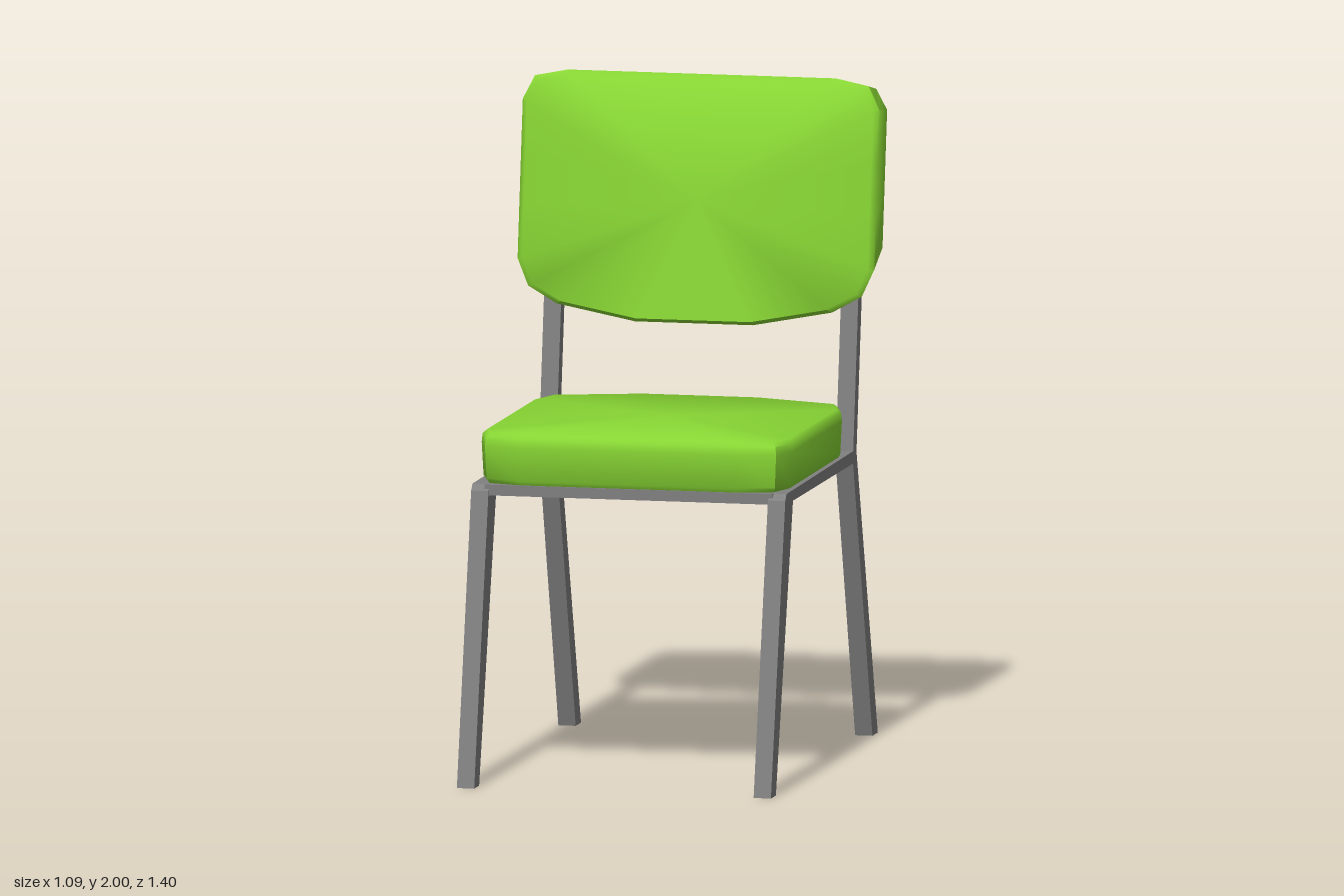
import * as THREE from 'three';
import { toCreasedNormals } from 'three/addons/utils/BufferGeometryUtils.js';

// Mirrors half an outline (+x side, listed bottom to top) into a closed counter-clockwise loop
const mirrorLoop = (half) => [...half, ...half.map(([x, v]) => [-x, v]).reverse()];

// Skins a list of equal-length rings; the first and last rings are collapsed to a point
function loft(rings) {
  const n = rings[0].length, last = rings.length - 2, index = [];
  for (let i = 0; i <= last; i++) {
    for (let j = 0; j < n; j++) {
      const k = (j + 1) % n, a = i * n, b = a + n;
      if (i < last) index.push(a + j, b + j, b + k);
      if (i > 0) index.push(a + j, b + k, a + k);
      else index.push();
    }
  }
  const geo = new THREE.BufferGeometry();
  geo.setAttribute('position', new THREE.Float32BufferAttribute(rings.flat(2), 3));
  geo.setIndex(index);
  return toCreasedNormals(geo, 0.9);
}

function extrude(points, depth) {
  const shape = new THREE.Shape(points.map(([x, y]) => new THREE.Vector2(x, y)));
  return new THREE.ExtrudeGeometry(shape, { depth, bevelEnabled: false });
}

export function createModel() {
  const chair = new THREE.Group();
  chair.name = 'chair';
  const green = new THREE.MeshStandardMaterial({ color: 0x88d634 });
  green.name = 'green upholstery';
  const grey = new THREE.MeshStandardMaterial({ color: 0x808080 });
  grey.name = 'grey metal';
  const add = (name, geo, mat) => {
    const mesh = new THREE.Mesh(geo, mat);
    mesh.name = name;
    chair.add(mesh);
    return mesh;
  };

  // Side frames: both legs, seat rail and back post in one outline (z, y)
  const sideOutline = [
    [0.64, 0], [0.705, 0], [0.517, 0.868], [0.5, 0.887], [-0.377, 0.892],
    [-0.51, 1.785], [-0.557, 1.79], [-0.42, 0.885], [-0.70, 0], [-0.63, 0],
    [-0.375, 0.855], [0.415, 0.855],
  ];
  const tube = 0.053;
  for (const [name, x] of [['leftFrame', 0.48], ['rightFrame', -0.48 + tube]]) {
    const frame = add(name, extrude(sideOutline, tube), grey);
    frame.rotation.y = -Math.PI / 2;
    frame.position.x = x;
  }

  // Cross bars
  add('frontRail', new THREE.BoxGeometry(0.88, 0.032, 0.05), grey).position.set(0, 0.871, 0.487);
  const topBar = add('backTopBar', new THREE.BoxGeometry(0.88, 0.052, 0.046), grey);
  topBar.position.set(0, 1.762, -0.53);
  topBar.rotation.x = -0.15;

  // Rear rail bowed backwards
  const bow = [[0.45, -0.42], [0.18, -0.475], [-0.18, -0.475], [-0.45, -0.42],
    [-0.45, -0.375], [-0.17, -0.43], [0.17, -0.43], [0.45, -0.375]];
  const rearRail = add('rearRail', extrude(bow, 0.035), grey);
  rearRail.rotation.x = Math.PI / 2;
  rearRail.position.y = 0.89;

  // Seat cushion, rings from the top down
  const seatLoop = mirrorLoop([[0.34, -0.518], [0.445, -0.488], [0.475, -0.4],
    [0.475, 0.25], [0.44, 0.36], [0.18, 0.445]]);
  const seatRings = [[0, 1.038], [0.97, 1.036], [0.995, 1.025], [1, 1.0],
    [0.99, 0.9], [0.97, 0.884], [0, 0.884]];
  add('seat', loft(seatRings.map(([s, y]) => seatLoop.map(([x, v]) => [x * s, y, -v * s]))), green);

  // Backrest cushion, rings from the front to the hollowed back
  const backLoop = mirrorLoop([[0.18, 1.265], [0.42, 1.31], [0.51, 1.36], [0.545, 1.44],
    [0.545, 1.6], [0.545, 1.76], [0.545, 1.91], [0.51, 1.98], [0.41, 2.0], [0.15, 2.0]]);
  const clamp = (t) => Math.min(1, Math.max(0, t));
  const frontPoint = (x, y, sink) => [x, y, -0.44 + (2 - y) * 0.146 - sink];
  const backPoint = (x, y, sink) => {
    const yb = 1.975 - (2 - y) * 0.864;
    const hollow = 0.075 * clamp((0.53 - Math.abs(x)) / 0.2) * clamp((1.84 - yb) / 0.25);
    return [x, yb, -0.575 + (1.975 - yb) * 0.15 + hollow + sink];
  };
  const ring = (point, s, sink = 0) =>
    backLoop.map(([x, y]) => point(x * s, 1.63 + (y - 1.63) * s, sink));
  add('backrest', loft([
    ring(frontPoint, 0), ring(frontPoint, 0.97), ring(frontPoint, 1, 0.015),
    ring(backPoint, 1, 0.02),
    ...[0.96, 0.88, 0.78, 0.6, 0.35, 0].map((s) => ring(backPoint, s)),
  ]), green);

  // Bolts along the top of the backrest
  for (const x of [-0.445, -0.18, 0.18, 0.445]) {
    const bolt = add('bolt', new THREE.CylinderGeometry(0.014, 0.02, 0.03, 6), grey);
    bolt.rotation.x = -Math.PI / 2 - 0.15;
    bolt.position.set(x, 1.9, -0.569);
  }
  return chair;
}
